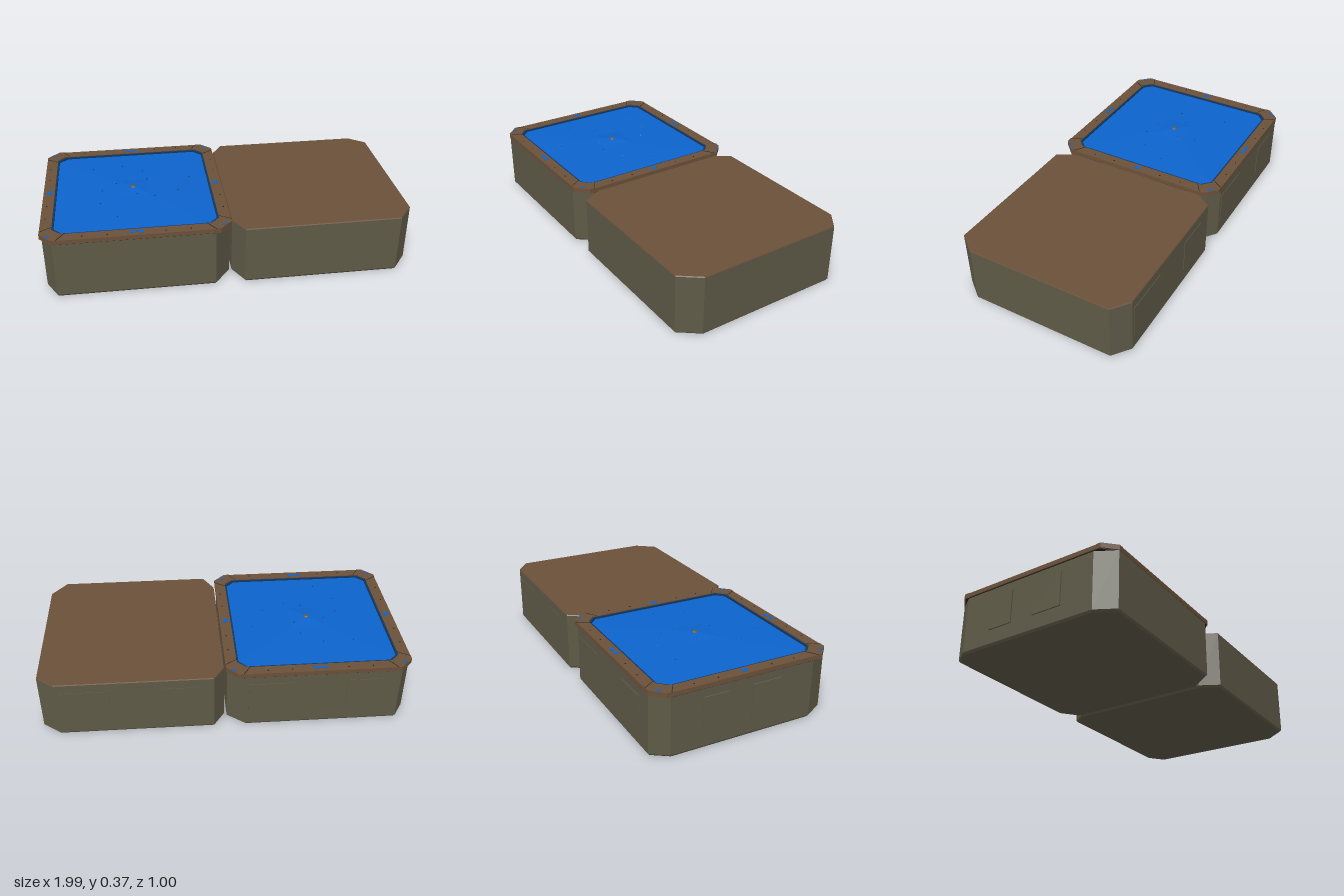
import * as THREE from 'three';

const mat = (name, color) => {
  const m = new THREE.MeshStandardMaterial({ color });
  m.name = name;
  return m;
};

// Eight-sided plan, counter-clockwise seen from above, as [x, z]
const BODY = [
  [-0.435, 0.497], [0.41, 0.497], [0.493, 0.39], [0.493, -0.425],
  [0.4, -0.497], [-0.435, -0.497], [-0.493, -0.41], [-0.493, 0.39],
];
const octagon = (h, c) => [
  [-h + c, h], [h - c, h], [h, h - c], [h, -h + c],
  [h - c, -h], [-h + c, -h], [-h, -h + c], [-h, h - c],
];

// Skin a plan through [scale, y] levels, with optional flat caps
function loft(plan, levels, capBottom, capTop) {
  const pos = [];
  const at = ([s, y], i) => {
    const p = plan[i % plan.length];
    return [p[0] * s, y, p[1] * s];
  };
  for (let k = 0; k < levels.length - 1; k++) {
    for (let i = 0; i < plan.length; i++) {
      const a = at(levels[k], i), b = at(levels[k], i + 1);
      const c = at(levels[k + 1], i + 1), d = at(levels[k + 1], i);
      pos.push(...a, ...b, ...c, ...a, ...c, ...d);
    }
  }
  const lo = levels[0], hi = levels[levels.length - 1];
  for (let i = 0; i < plan.length; i++) {
    if (capBottom) pos.push(0, lo[1], 0, ...at(lo, i + 1), ...at(lo, i));
    if (capTop) pos.push(0, hi[1], 0, ...at(hi, i), ...at(hi, i + 1));
  }
  const g = new THREE.BufferGeometry();
  g.setAttribute('position', new THREE.Float32BufferAttribute(pos, 3));
  g.computeVertexNormals();
  return g;
}

// Flat plate from an [x, z] outline, with an optional hole
function plate(outline, y, height, hole) {
  const pts = (o) => o.map(([x, z]) => new THREE.Vector2(x, -z));
  const shape = new THREE.Shape(pts(outline));
  if (hole) shape.holes.push(new THREE.Path(pts(hole)));
  const g = new THREE.ExtrudeGeometry(shape, { depth: height, bevelEnabled: false });
  return g.rotateX(-Math.PI / 2).translate(0, y, 0);
}

export function createModel() {
  const olive = mat('olive cladding', 0x5e5a47);
  const brown = mat('brown wood', 0x6b513a);
  const blue = mat('water blue', 0x0c63cc);
  const navy = mat('dark blue lip', 0x14365c);
  const dark = mat('dark fittings', 0x2a2620);

  const add = (parent, name, geometry, material, x = 0, y = 0, z = 0) => {
    const m = new THREE.Mesh(geometry, material);
    m.name = name;
    m.position.set(x, y, z);
    parent.add(m);
    return m;
  };

  // Cladding box with access panels on the back and outer side
  function makeBase(name, x) {
    const g = new THREE.Group();
    g.name = name;
    g.position.x = x;
    add(g, 'cladding', loft(BODY, [[0.982, 0], [1, 0.012], [1, 0.33]], true, false), olive);
    for (const [cx, w] of [[0.25, 0.26], [-0.25, 0.2]])
      add(g, 'backPanel', new THREE.BoxGeometry(w, 0.19, 0.006), olive, cx, 0.185, -0.497);
    for (const [cz, w] of [[-0.17, 0.14], [0.12, 0.17]])
      add(g, 'sidePanel', new THREE.BoxGeometry(0.012, 0.19, w), olive, -0.494, 0.185, cz);
    return g;
  }

  const model = new THREE.Group();
  model.name = 'poolAndPlatform';

  // Closed platform with a plain wooden top
  const platform = makeBase('platform', 0.5);
  add(platform, 'platformTop', loft(BODY, [[1, 0.33], [0.995, 0.335]], false, true), brown);
  model.add(platform);

  // Pool with wooden rim
  const pool = makeBase('pool', -0.5);
  model.add(pool);
  const outer = octagon(0.5, 0.065), opening = octagon(0.438, 0.045);
  add(pool, 'rim', plate(outer, 0.328, 0.024, opening), brown);
  add(pool, 'innerLip', plate(octagon(0.44, 0.045), 0.33, 0.019, octagon(0.428, 0.045)), navy);
  add(pool, 'rimUnderside', plate(octagon(0.497, 0.07), 0.325, 0.003), dark);

  // Water swells to a low mound round the spout
  add(pool, 'water', loft(octagon(0.43, 0.045),
    [[1, 0.34], [0.22, 0.351], [0.04, 0.361]], false, true), blue);
  add(pool, 'spout', new THREE.CylinderGeometry(0.012, 0.02, 0.008, 8), olive, 0, 0.362, 0);

  // Four identical rim sides, each with a corner piece, seams, screws and inlay
  const corner = [[0.5, 0.41], [0.437, 0.37], [0.437, 0.393], [0.393, 0.437],
    [0.37, 0.437], [0.41, 0.5], [0.435, 0.5], [0.5, 0.435]];
  const bow = [[-0.036, -0.014], [0, -0.004], [0.036, -0.014],
    [0.036, 0.014], [0, 0.004], [-0.036, 0.014]];
  const diamond = [[-0.02, 0], [-0.008, -0.016], [0.008, -0.016],
    [0.02, 0], [0.008, 0.016], [-0.008, 0.016]];
  const cornerGeo = plate(corner, 0.327, 0.027);
  const screwGeo = new THREE.CylinderGeometry(0.004, 0.004, 0.003, 6);
  const seamGeo = new THREE.BoxGeometry(0.003, 0.002, 0.076);
  for (let i = 0; i < 4; i++) {
    const side = new THREE.Group();
    side.name = 'rimSide';
    side.rotation.y = i * Math.PI / 2;
    pool.add(side);
    add(side, 'cornerPiece', cornerGeo, brown);
    add(side, 'seam', seamGeo, dark, 0.39, 0.354, 0.468).rotation.y = 0.565;
    add(side, 'seam', seamGeo, dark, 0.468, 0.354, 0.39).rotation.y = 1.006;
    add(side, 'inlay', plate(i % 2 ? diamond : bow, 0.352, 0.002), blue, 0, 0, 0.467);
    for (const x of [-0.28, -0.15, 0.15, 0.28])
      add(side, 'screw', screwGeo, dark, x, 0.353, 0.475);
    const inlay = new THREE.BoxGeometry(0.026, 0.002, 0.012);
    add(side, 'cornerInlay', inlay, blue, 0.458, 0.355, 0.458).rotation.y = Math.PI / 4;
  }

  // Droplets scattered above the water
  const drop = new THREE.OctahedronGeometry(0.0045);
  const drops = [[-0.225, -0.24], [-0.055, -0.25], [0.06, -0.17], [-0.095, -0.035],
    [0.08, -0.065], [0.325, -0.08], [-0.175, 0.035], [0.02, 0.1],
    [0.115, 0.13], [0.245, 0.075], [-0.185, 0.17], [-0.095, 0.315]];
  for (const [x, z] of drops)
    add(pool, 'droplet', drop, navy, x, 0.367 - 0.04 * Math.max(0, Math.hypot(x, z) - 0.1), z);

  return model;
}
